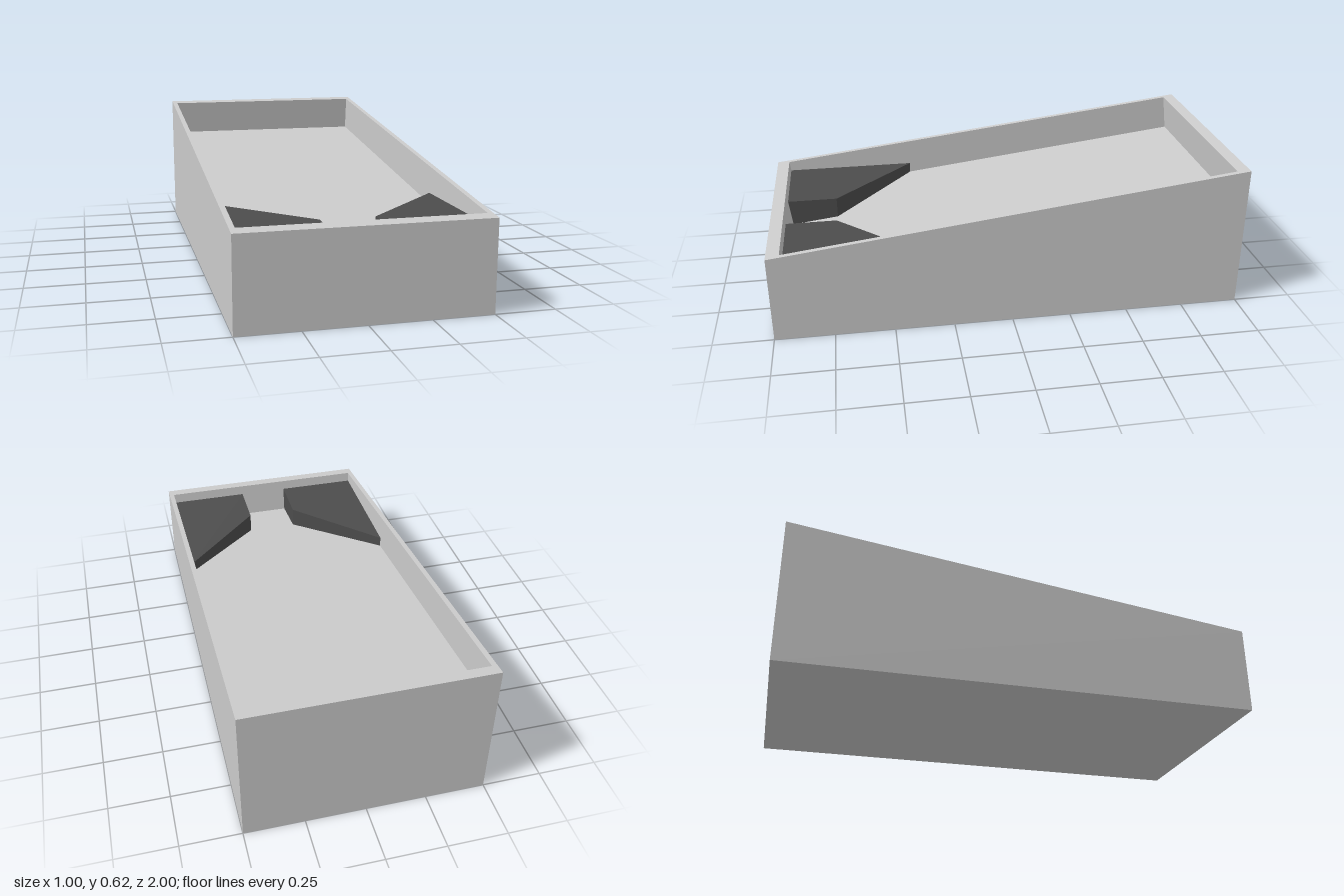
import * as THREE from 'three';

const SLOPE = 0.1225;                      // fall of the rim per unit of z
const DEPTH = 0.161;                       // vertical depth of the recess
const rimY = z => 0.4975 - SLOPE * z;
const SHIFT = DEPTH * SLOPE;               // recess walls stand square to the slope
const IN_X = 0.478, IN_FRONT = 0.945, IN_BACK = -0.95;
const FLOOR_FRONT = IN_FRONT - SHIFT, FLOOR_BACK = IN_BACK - SHIFT;
const floorY = z => rimY(IN_FRONT) - DEPTH + SLOPE * (FLOOR_FRONT - z);
const wallZ = y => IN_FRONT - (rimY(IN_FRONT) - y) * SLOPE;

// Joins four-cornered rings (counter-clockwise from above) and caps both ends
function loft(rings) {
  const pos = [];
  const quad = (a, b, c, d) => [a, b, c, a, c, d].forEach(p => pos.push(...p));
  for (let r = 0; r + 1 < rings.length; r++) {
    const lo = rings[r], hi = rings[r + 1];
    for (let i = 0; i < 4; i++) {
      const j = (i + 1) % 4;
      quad(lo[i], lo[j], hi[j], hi[i]);
    }
  }
  quad(...[...rings[0]].reverse());
  quad(...rings[rings.length - 1]);
  const geo = new THREE.BufferGeometry();
  geo.setAttribute('position', new THREE.Float32BufferAttribute(pos, 3));
  geo.computeVertexNormals();
  return geo;
}

// Rectangle whose height follows z
const rect = (x, front, back, y) => [
  [-x, y(front), front], [x, y(front), front], [x, y(back), back], [-x, y(back), back],
];

export function createModel() {
  const model = new THREE.Group();
  const grey = new THREE.MeshStandardMaterial({ color: 0xcccccc, flatShading: true });
  const dark = new THREE.MeshStandardMaterial({ color: 0x4d4d4d, flatShading: true });

  // Sloping box with a sunken tray: base, outer rim, inner rim, tray floor
  const tray = new THREE.Mesh(loft([
    rect(0.5, 1, -1, () => 0),
    rect(0.5, 1, -1, rimY),
    rect(IN_X, IN_FRONT, IN_BACK, rimY),
    rect(IN_X, FLOOR_FRONT, FLOOR_BACK, floorY),
  ]), grey);
  tray.name = 'slopingTray';
  model.add(tray);

  // Level-topped corner blocks that funnel the tray towards the front
  const topY = 0.337;
  for (const s of [1, -1]) {
    const ring = (front, y) => {
      const pts = [[0.113, front], [IN_X, front], [IN_X, 0.355], [0.113, 0.72]]
        .map(([x, z]) => [s * x, y(z), z]);
      return s > 0 ? pts : pts.reverse();
    };
    const block = new THREE.Mesh(loft([
      ring(FLOOR_FRONT, floorY),
      ring(wallZ(topY), () => topY),
    ]), dark);
    block.name = s > 0 ? 'leftCornerBlock' : 'rightCornerBlock';
    model.add(block);
  }
  return model;
}
